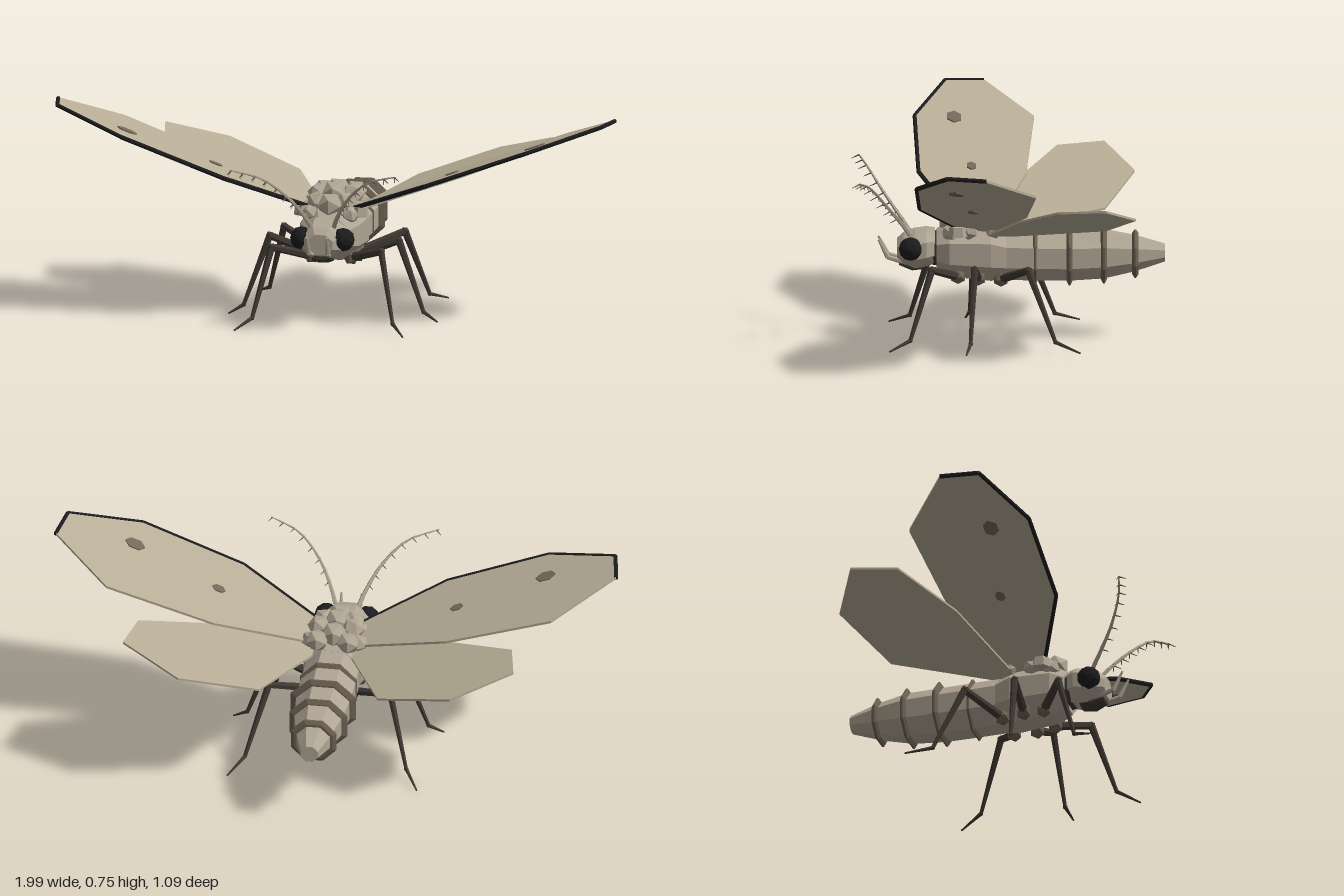
import * as THREE from 'three';

const mat = (color) => new THREE.MeshStandardMaterial({ color, flatShading: true });
const V = (x, y, z) => new THREE.Vector3(x, y, z);

export function createModel() {
  const model = new THREE.Group();
  const tan = mat(0xb0a594), band = mat(0x6b6052), dark = mat(0x3f3832), black = mat(0x1c1c1e);
  const wingTan = mat(0xb8ad96), spotBrown = mat(0x75685a);

  const add = (name, geometry, material, parent = model) => {
    const mesh = new THREE.Mesh(geometry, material);
    mesh.name = name;
    parent.add(mesh);
    return mesh;
  };

  const group = (name) => {
    const g = new THREE.Group();
    g.name = name;
    model.add(g);
    return g;
  };

  // Eight-sided hull through sections [z, centre y, half width, half height], front to back
  const hull = (name, sections, material, parent) => {
    const n = sections.length - 1;
    const g = new THREE.CylinderGeometry(1, 1, 1, 8, n, false, Math.PI / 8);
    const p = g.attributes.position, k = 1 / Math.cos(Math.PI / 8);
    for (let i = 0; i < p.count; i++) {
      const [z, cy, rx, ry] = sections[Math.round((0.5 - p.getY(i)) * n)];
      p.setXYZ(i, p.getX(i) * rx * k, cy - p.getZ(i) * ry * k, z);
    }
    g.computeVertexNormals();
    return add(name, g, material, parent);
  };

  // Tapered rod from a to b
  const rod = (name, a, b, ra, rb, material, parent, sides = 6) => {
    const d = b.clone().sub(a);
    const mesh = add(name, new THREE.CylinderGeometry(rb, ra, d.length(), sides), material, parent);
    mesh.position.copy(a).addScaledVector(d, 0.5);
    mesh.quaternion.setFromUnitVectors(V(0, 1, 0), d.normalize());
    return mesh;
  };

  const blob = (name, r, x, y, z, material, parent) => {
    const mesh = add(name, new THREE.IcosahedronGeometry(r, 0), material, parent);
    mesh.position.set(x, y, z);
    return mesh;
  };

  // Abdomen with raised bands
  hull('abdomen', [[0.02, 0.3, 0.095, 0.088], [-0.1, 0.297, 0.096, 0.087], [-0.22, 0.295, 0.095, 0.086],
    [-0.34, 0.298, 0.085, 0.082], [-0.45, 0.3, 0.062, 0.06], [-0.553, 0.302, 0.03, 0.03]], tan);
  [[-0.1, 0.1, 0.1], [-0.22, 0.115, 0.104], [-0.34, 0.102, 0.098], [-0.45, 0.08, 0.08]].forEach(([z, rx, ry]) =>
    hull('abdomenBand', [[z + 0.011, 0.298, rx * 0.85, ry * 0.85], [z + 0.003, 0.298, rx, ry],
      [z - 0.003, 0.298, rx, ry], [z - 0.011, 0.298, rx * 0.85, ry * 0.85]], band));

  // Thorax and neck
  hull('thorax', [[0.245, 0.315, 0.08, 0.068], [0.2, 0.315, 0.105, 0.09], [0.055, 0.31, 0.112, 0.1],
    [0, 0.3, 0.098, 0.088]], tan);
  hull('neck', [[0.265, 0.32, 0.06, 0.055], [0.235, 0.32, 0.068, 0.06]], dark);

  // Tufts on the back
  const tufts = group('backTufts');
  [[0.035, 0.438], [0.115, 0.444], [0.195, 0.418]].forEach(([z, y]) => blob('tuft', 0.047, 0, y, z, tan, tufts));
  for (const s of [-1, 1]) {
    [[0.055, 0.428, 0.0], [0.06, 0.434, 0.085], [0.052, 0.418, 0.155], [0.085, 0.4, 0.045],
      [0.082, 0.395, 0.13], [0.07, 0.385, 0.195]].forEach(([x, y, z], i) => {
      blob('tuft', i < 3 ? 0.042 : 0.034, s * x, y, z, tan, tufts).rotation.set(i, s * i * 0.7, 0);
    });
  }

  // Head with dark mouth
  hull('head', [[0.383, 0.315, 0.045, 0.036], [0.36, 0.317, 0.07, 0.053], [0.32, 0.318, 0.085, 0.067],
    [0.28, 0.325, 0.086, 0.065], [0.25, 0.328, 0.062, 0.06]], tan);
  hull('mouth', [[0.375, 0.272, 0.03, 0.012], [0.33, 0.256, 0.04, 0.014], [0.29, 0.258, 0.035, 0.012]], dark);

  // Wing outlines as [x, z]; the leading edge comes first
  const foreWing = [[0.07, 0.17], [0.36, 0.305], [0.72, 0.317], [0.967, 0.21], [0.99, 0.075],
    [0.786, -0.1], [0.41, -0.07], [0.07, 0.04]];
  const hindWing = [[0.07, 0.07], [0.42, -0.04], [0.66, -0.18], [0.69, -0.345], [0.48, -0.45],
    [0.21, -0.345], [0.07, -0.02]];
  const foreY = (x, z) => 0.37 + 0.37 * Math.abs(x) + 0.1 * (z - 0.1);
  const hindY = (x) => 0.353 + 0.315 * Math.abs(x);

  // Thin plate following a height rule
  const plate = (name, outline, height, s, thick, material, parent) => {
    const shape = new THREE.Shape(outline.map(([x, z]) => new THREE.Vector2(s * x, -z)));
    const g = new THREE.ExtrudeGeometry(shape, { depth: thick, bevelEnabled: false });
    g.rotateX(-Math.PI / 2);
    const p = g.attributes.position;
    for (let i = 0; i < p.count; i++) p.setY(i, p.getY(i) - thick / 2 + height(p.getX(i), p.getZ(i)));
    g.computeVertexNormals();
    return add(name, g, material, parent);
  };
  const hexagon = (cx, cz, r) => Array.from({ length: 6 }, (_, i) =>
    [cx + r * Math.cos(i * Math.PI / 3), cz + 0.8 * r * Math.sin(i * Math.PI / 3)]);

  for (const [s, side] of [[1, 'left'], [-1, 'right']]) {
    // Wings, dark leading edge and spots
    const wings = group(side + 'Wings');
    plate('foreWing', foreWing, foreY, s, 0.009, wingTan, wings);
    plate('hindWing', hindWing, hindY, s, 0.008, wingTan, wings);
    for (let i = 0; i < 4; i++) {
      const [a, b] = [foreWing[i], foreWing[i + 1]].map(([x, z]) => V(s * x, foreY(x, z), z));
      rod('wingEdge', a, b, 0.008, 0.008, black, wings);
    }
    plate('wingSpot', hexagon(0.725, 0.18, 0.035), foreY, s, 0.018, spotBrown, wings);
    plate('wingSpot', hexagon(0.42, 0.12, 0.023), foreY, s, 0.018, spotBrown, wings);
    const joint = add('wingJoint', new THREE.CylinderGeometry(0.03, 0.035, 0.035, 6), tan, wings);
    joint.position.set(s * 0.1, 0.395, 0.17);

    // Eyes
    blob('eye', 0.042, s * 0.073, 0.328, 0.335, black).geometry = new THREE.IcosahedronGeometry(0.042, 1);

    // Mouth feelers
    const feeler = group(side + 'Feeler');
    const f = [V(s * 0.026, 0.272, 0.35), V(s * 0.034, 0.292, 0.415), V(s * 0.036, 0.355, 0.447)];
    rod('feelerBase', f[0], f[1], 0.01, 0.008, tan, feeler);
    rod('feelerTip', f[1], f[2], 0.009, 0.004, tan, feeler);

    // Feathered antenna
    const antenna = group(side + 'Antenna');
    const curve = new THREE.CatmullRomCurve3([V(s * 0.04, 0.37, 0.335), V(s * 0.062, 0.42, 0.37),
      V(s * 0.11, 0.495, 0.427), V(s * 0.19, 0.567, 0.48), V(s * 0.29, 0.598, 0.513)]);
    const steps = 10;
    for (let i = 0; i < steps; i++) {
      const a = curve.getPoint(i / steps), b = curve.getPoint((i + 1) / steps);
      rod('antennaSegment', a, b, 0.009 - i * 0.0006, 0.0075 - i * 0.0006, tan, antenna, 5);
      if (i < 2) continue;
      rod('antennaBarb', b, b.clone().add(V(s * 0.006, -0.014, 0.028)), 0.003, 0.001, band, antenna, 4);
      rod('antennaBarb', b, b.clone().add(V(s * 0.016, -0.016, -0.004)), 0.003, 0.001, band, antenna, 4);
    }

    // Legs as hip, knee, ankle and toe points
    const legs = [
      ['frontLeg', [0.07, 0.23, 0.17], [0.195, 0.275, 0.262], [0.25, 0.035, 0.337], [0.3, 0.004, 0.41]],
      ['middleLeg', [0.08, 0.225, 0.1], [0.23, 0.283, 0.112], [0.32, 0.035, 0.127], [0.372, 0.004, 0.142]],
      ['hindLeg', [0.07, 0.22, 0.02], [0.215, 0.277, -0.075], [0.285, 0.035, -0.17], [0.335, 0.004, -0.257]],
    ];
    for (const [name, ...pts] of legs) {
      const leg = group(side + name[0].toUpperCase() + name.slice(1));
      const [hip, knee, ankle, toe] = pts.map(([x, y, z]) => V(s * x, y, z));
      blob('hip', 0.028, hip.x, hip.y, hip.z, band, leg);
      rod('thigh', hip, knee, 0.016, 0.013, dark, leg);
      blob('knee', 0.015, knee.x, knee.y, knee.z, dark, leg);
      rod('shin', knee, ankle, 0.013, 0.007, dark, leg);
      blob('ankle', 0.009, ankle.x, ankle.y, ankle.z, dark, leg);
      rod('foot', ankle, toe, 0.007, 0.003, dark, leg);
    }
  }
  return model;
}
